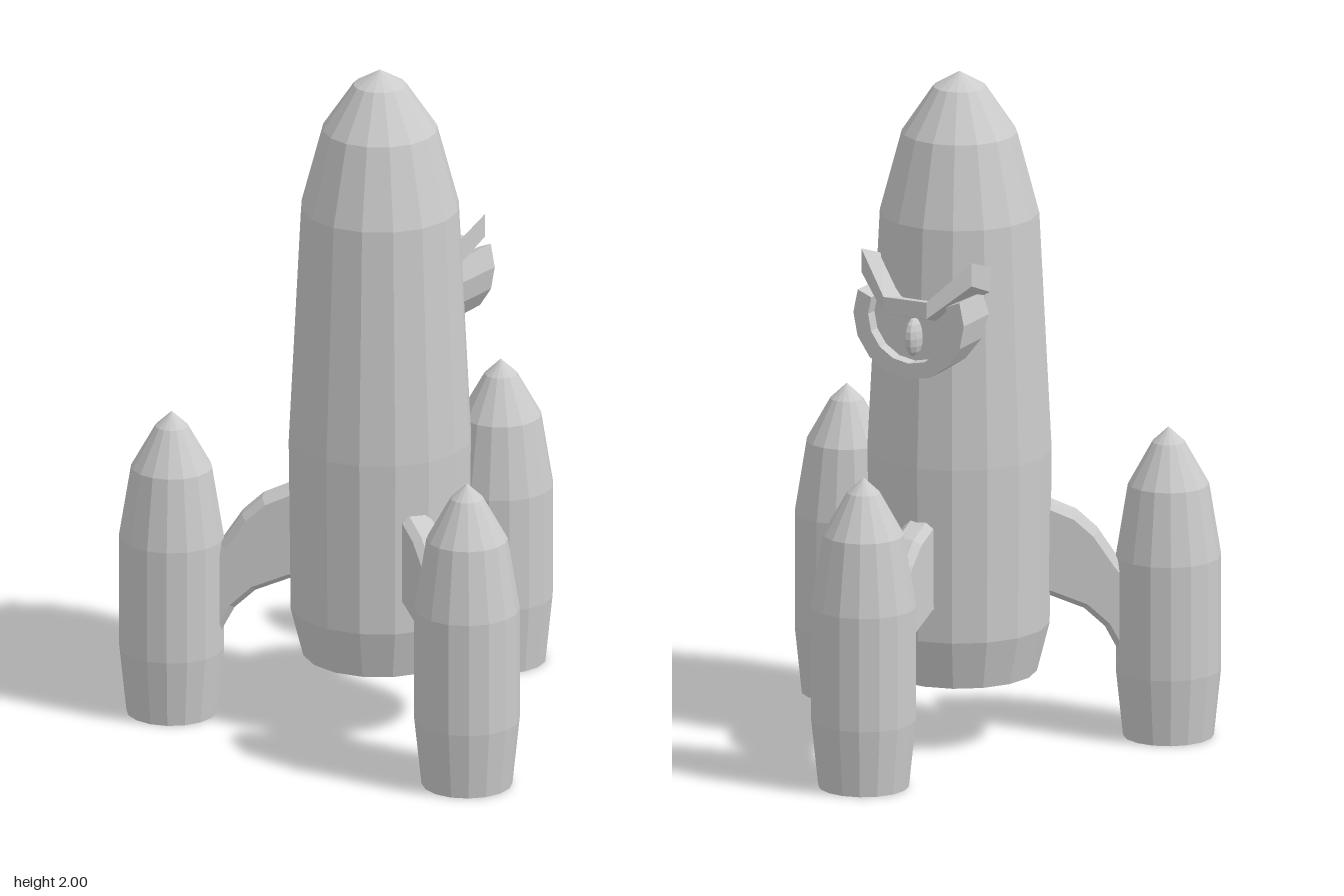
import * as THREE from 'three';

const material = new THREE.MeshStandardMaterial({ color: 0xcccccc, flatShading: true });

function add(parent, name, geometry) {
  const mesh = new THREE.Mesh(geometry, material);
  mesh.name = name;
  parent.add(mesh);
  return mesh;
}

const vectors = (pairs) => pairs.map(([x, y]) => new THREE.Vector2(x, y));

// Hollow rocket shell: inner wall down to the rim, then outer wall up to the tip
function shell(outer, wall, sides) {
  const inner = outer.slice(0, -1).map(([r, y]) => [r - wall, y]).reverse();
  const tip = outer[outer.length - 1];
  return new THREE.LatheGeometry(vectors([[0, tip[1] - wall], ...inner, ...outer]), sides);
}

// Solid skin over cross-sections that each hold the same number of corners
function loft(sections) {
  const n = sections[0].length;
  const index = [];
  for (let s = 0; s < sections.length - 1; s++) {
    for (let i = 0; i < n; i++) {
      const a = s * n + i, b = s * n + (i + 1) % n;
      index.push(a, a + n, b, b, a + n, b + n);
    }
  }
  const last = (sections.length - 1) * n;
  for (let i = 1; i < n - 1; i++) {
    index.push(0, i, i + 1, last, last + i + 1, last + i);
  }
  const geometry = new THREE.BufferGeometry();
  geometry.setAttribute('position', new THREE.Float32BufferAttribute(sections.flat(2), 3));
  geometry.setIndex(index);
  geometry.computeVertexNormals();
  return geometry;
}

// Curved strut with chamfered edges, lying along local x
function strutGeometry() {
  const shape = new THREE.Shape(vectors([
    [0.2, 0.43], [0.26, 0.43], [0.36, 0.39], [0.42, 0.335], [0.46, 0.26], [0.5, 0.22],
    [0.5, 0.48], [0.46, 0.53], [0.4, 0.62], [0.34, 0.675], [0.26, 0.71], [0.2, 0.71],
  ]));
  const geometry = new THREE.ExtrudeGeometry(shape, {
    depth: 0.05, bevelThickness: 0.022, bevelSize: 0.018, bevelOffset: -0.018, bevelSegments: 1,
  });
  return geometry.translate(0, 0, -0.025);
}

// Points along the lower arc of the eye, from its right end round to its left end
function eyeArc(radius, steps) {
  const points = [];
  for (let i = 0; i <= steps; i++) {
    const a = THREE.MathUtils.degToRad(157 + (226 * i) / steps);
    points.push(new THREE.Vector2(radius * Math.cos(a), 1.33 + radius * Math.sin(a)));
  }
  return points;
}

function createEye() {
  const eye = new THREE.Group();
  eye.name = 'eye';

  // Rim, open under the brow
  const rim = new THREE.Shape([...eyeArc(0.18, 10), ...eyeArc(0.132, 10).reverse()]);
  add(eye, 'eyeRim', new THREE.ExtrudeGeometry(rim, { depth: 0.17, bevelEnabled: false })
    .translate(0, 0, -0.17));

  // Recessed eyeball face with a low centre under the brow
  const ball = new THREE.Shape([...eyeArc(0.14, 10), new THREE.Vector2(0, 1.35)]);
  add(eye, 'eyeball', new THREE.ExtrudeGeometry(ball, { depth: 0.12, bevelEnabled: false })
    .translate(0, 0, -0.13));

  // Tall slit pupil
  const pupil = add(eye, 'pupil', new THREE.SphereGeometry(1, 10, 8));
  pupil.scale.set(0.026, 0.058, 0.045);
  pupil.position.set(0, 1.27, -0.132);

  // Frowning brow: x, then back and front z, then bottom and top heights
  const end = { back: 0.01, front: -0.12, y: [1.39, 1.465, 1.51, 1.44] };
  const middle = { back: -0.05, front: -0.193, y: [1.3, 1.36, 1.395, 1.345] };
  const section = (x, { back, front, y }) => [
    [x, y[0], back], [x, y[1], back], [x, y[2], front], [x, y[3], front],
  ];
  add(eye, 'brow', loft([
    section(-0.18, end), section(-0.07, middle), section(0.07, middle), section(0.18, end),
  ]));
  return eye;
}

export function createModel() {
  const model = new THREE.Group();
  model.name = 'rocket';

  // Main hull with its three boosters around it
  const hull = new THREE.Group();
  hull.name = 'hull';
  hull.position.z = 0.152;
  model.add(hull);
  add(hull, 'mainBody', shell([
    [0.225, 0.205], [0.262, 0.35], [0.268, 0.87], [0.232, 1.58],
    [0.168, 1.82], [0.077, 1.955], [0, 2],
  ], 0.022, 16));

  const boosterGeometry = shell([
    [0.132, 0], [0.153, 0.2], [0.153, 0.54], [0.118, 0.755], [0.048, 0.88], [0, 0.925],
  ], 0.018, 16);
  const strut = strutGeometry();
  ['back', 'right', 'left'].forEach((side, i) => {
    const arm = new THREE.Group();
    arm.name = side + 'BoosterArm';
    arm.rotation.y = Math.PI / 2 + (i * Math.PI * 2) / 3;
    add(arm, side + 'Booster', boosterGeometry).position.x = 0.606;
    add(arm, side + 'Strut', strut);
    hull.add(arm);
  });

  // Single scowling eye on the back
  model.add(createEye());
  return model;
}
